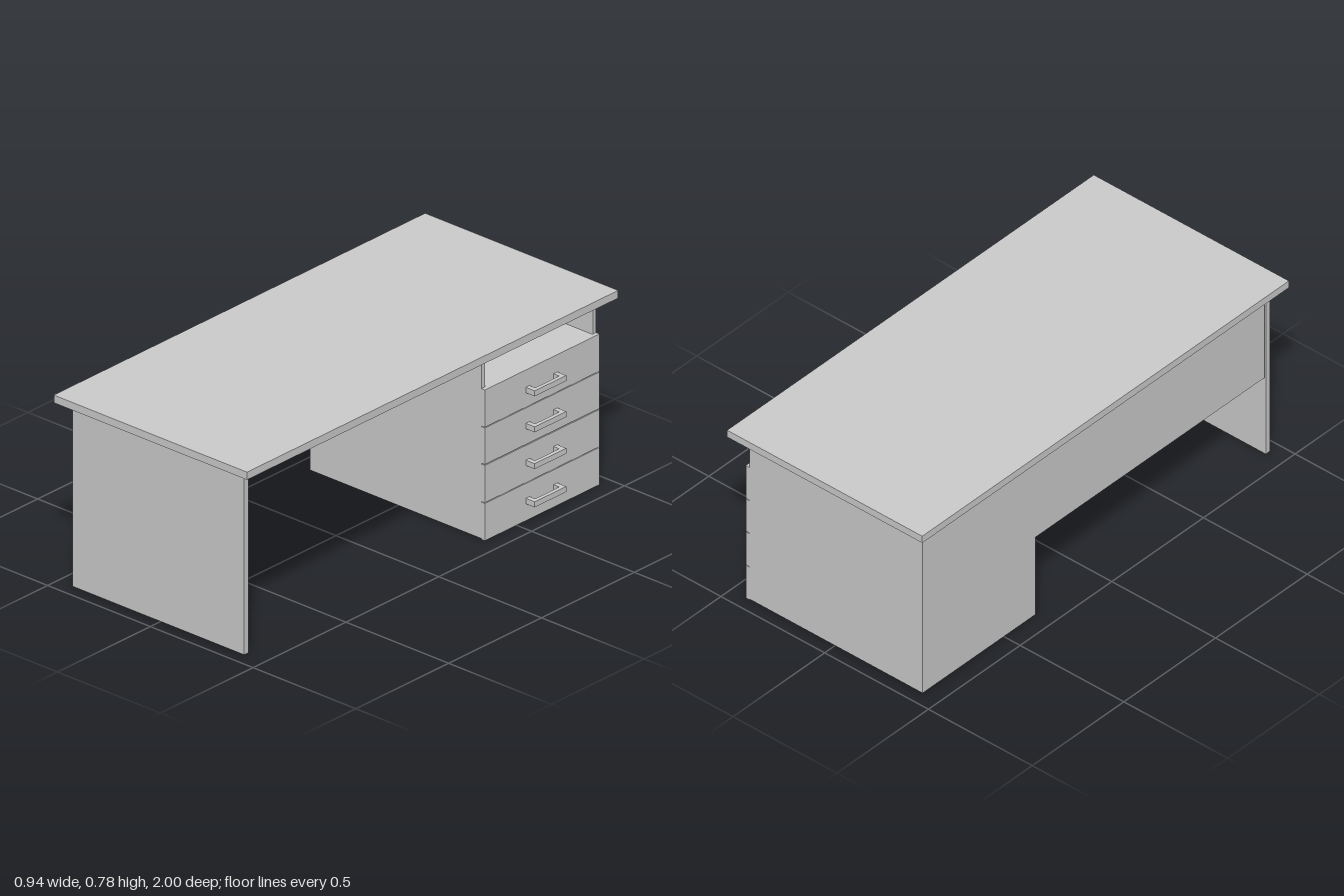
import * as THREE from 'three';

export function createModel() {
  const model = new THREE.Group();
  const grey = new THREE.MeshStandardMaterial({ color: 0xcccccc, flatShading: true });

  // Box given by its min and max along each axis
  function slab(name, [x0, x1], [y0, y1], [z0, z1], parent = model) {
    const mesh = new THREE.Mesh(new THREE.BoxGeometry(x1 - x0, y1 - y0, z1 - z0), grey);
    mesh.position.set((x0 + x1) / 2, (y0 + y1) / 2, (z0 + z1) / 2);
    mesh.name = name;
    parent.add(mesh);
    return mesh;
  }

  // Extrude a shape drawn in (-z, y) along +x, starting at x
  function extrudeAlongX(name, points, x, depth, parent = model) {
    const shape = new THREE.Shape(points.map(([z, y]) => new THREE.Vector2(-z, y)));
    const geometry = new THREE.ExtrudeGeometry(shape, { depth, bevelEnabled: false });
    geometry.rotateY(Math.PI / 2);
    const mesh = new THREE.Mesh(geometry, grey);
    mesh.position.x = x;
    mesh.name = name;
    parent.add(mesh);
  }

  // Worktop and the free-standing end panel
  slab('worktop', [-0.47, 0.47], [0.746, 0.777], [-1, 1]);
  slab('endPanel', [-0.424, 0.41], [0.003, 0.746], [0.926, 0.949]);

  // L-shaped back: full height behind the pedestal, short over the knee space
  extrudeAlongX('backPanel', [
    [-0.946, 0.003], [-0.33, 0.003], [-0.33, 0.357],
    [0.92, 0.357], [0.92, 0.74], [-0.946, 0.74],
  ], -0.424, 0.02);

  // Drawer pedestal with an open slot below the worktop
  const pedestal = new THREE.Group();
  pedestal.name = 'pedestal';
  model.add(pedestal);
  slab('innerSide', [-0.404, 0.41], [0.003, 0.746], [-0.35, -0.33], pedestal);
  slab('outerSide', [-0.404, 0.41], [0.003, 0.746], [-0.946, -0.93], pedestal);
  slab('drawerBody', [-0.404, 0.41], [0.003, 0.605], [-0.93, -0.35], pedestal);

  // Drawer fronts with bracket handles: [bottom, top, handle height]
  const drawers = [
    [0, 0.15, 0.079], [0.153, 0.303, 0.233], [0.307, 0.454, 0.381], [0.457, 0.607, 0.526],
  ];
  for (const [bottom, top, y] of drawers) {
    const drawer = new THREE.Group();
    drawer.name = 'drawer';
    pedestal.add(drawer);
    slab('drawerFront', [0.41, 0.427], [bottom, top], [-0.947, -0.329], drawer);
    const height = [y - 0.011, y + 0.011];
    slab('handleBar', [0.454, 0.47], height, [-0.72, -0.55], drawer);
    for (const z of [-0.72, -0.57]) slab('handlePost', [0.427, 0.454], height, [z, z + 0.02], drawer);
  }
  return model;
}
